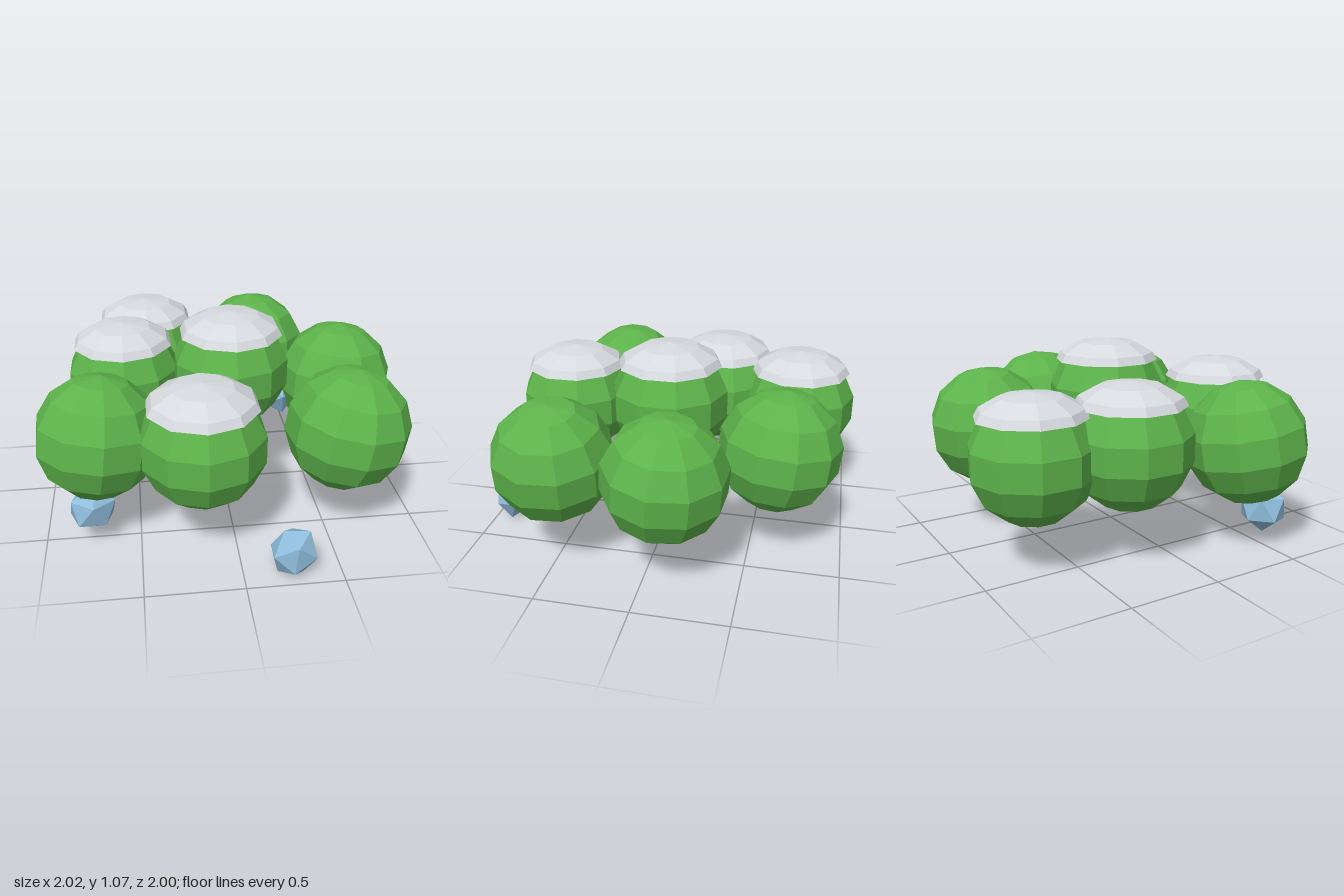
import * as THREE from 'three';

export function createModel() {
  const model = new THREE.Group();
  const leafGreen = new THREE.MeshStandardMaterial({ color: 0x5db34b, flatShading: true });
  leafGreen.name = 'leaf green';
  const snowGrey = new THREE.MeshStandardMaterial({ color: 0xd6dade, flatShading: true, side: THREE.DoubleSide });
  snowGrey.name = 'snow grey';
  const crystalBlue = new THREE.MeshStandardMaterial({ color: 0x8fbddc, flatShading: true });
  crystalBlue.name = 'crystal blue';

  // Ten-sided low-poly ball with a corner facing front and back
  const ballGeometry = new THREE.SphereGeometry(0.33, 10, 7).rotateY(Math.PI / 2);

  // Shallow cap: steep rim and low dome, heights measured from the ball centre
  const capGeometry = new THREE.LatheGeometry([
    [0.287, 0.212], [0.262, 0.255], [0.16, 0.312], [0, 0.333],
  ].map(([r, y]) => new THREE.Vector2(r, y)), 10);

  const add = (parent, name, geometry, material) => {
    const mesh = new THREE.Mesh(geometry, material);
    mesh.name = name;
    parent.add(mesh);
    return mesh;
  };

  // Foliage clumps: position, tilt and whether a cap sits on top
  const clumps = [
    { at: [-0.41, 0.58, -0.69], cap: true },
    { at: [-0.55, 0.61, -0.22], cap: true },
    { at: [0.045, 0.735, 0.0], cap: true },
    { at: [-0.17, 0.61, 0.615], cap: true },
    { at: [0.265, 0.595, -0.635], tilt: [-0.1, 0, 0.05] },
    { at: [0.68, 0.585, -0.11], tilt: [-0.06, 0.25, -0.08] },
    { at: [-0.695, 0.575, 0.415], tilt: [-0.1, 0.12, -0.12] },
    { at: [0.6, 0.585, 0.495], tilt: [0, 0.1, -0.17] },
  ];
  for (const { at, tilt = [0, 0, 0], cap } of clumps) {
    const clump = new THREE.Group();
    clump.name = 'foliageClump';
    clump.position.set(...at);
    clump.rotation.set(...tilt);
    add(clump, 'foliageBall', ballGeometry, leafGreen);
    if (cap) add(clump, 'snowCap', capGeometry, snowGrey);
    model.add(clump);
  }

  // Faceted crystals hanging below and between the clumps
  const crystalGeometry = new THREE.IcosahedronGeometry(0.135, 0);
  const crystals = [
    { at: [0.25, 0.13, 0.905], turn: [0, 0, -0.1], scale: [0.95, 1.08, 0.74] },
    { at: [-0.745, 0.205, 0.51], turn: [0.1, 0.4, 0.45], scale: [1, 1, 0.87] },
    { at: [-0.41, 0.38, 0.0], turn: [0.2, 0.3, 0.5], scale: [0.8, 0.95, 0.8] },
    { at: [0.35, 0.47, -0.185], turn: [0.4, 0.2, 0.1], scale: [0.8, 1, 1] },
  ];
  for (const { at, turn, scale } of crystals) {
    const crystal = add(model, 'crystal', crystalGeometry, crystalBlue);
    crystal.position.set(...at);
    crystal.rotation.set(...turn);
    crystal.scale.set(...scale);
  }
  return model;
}
